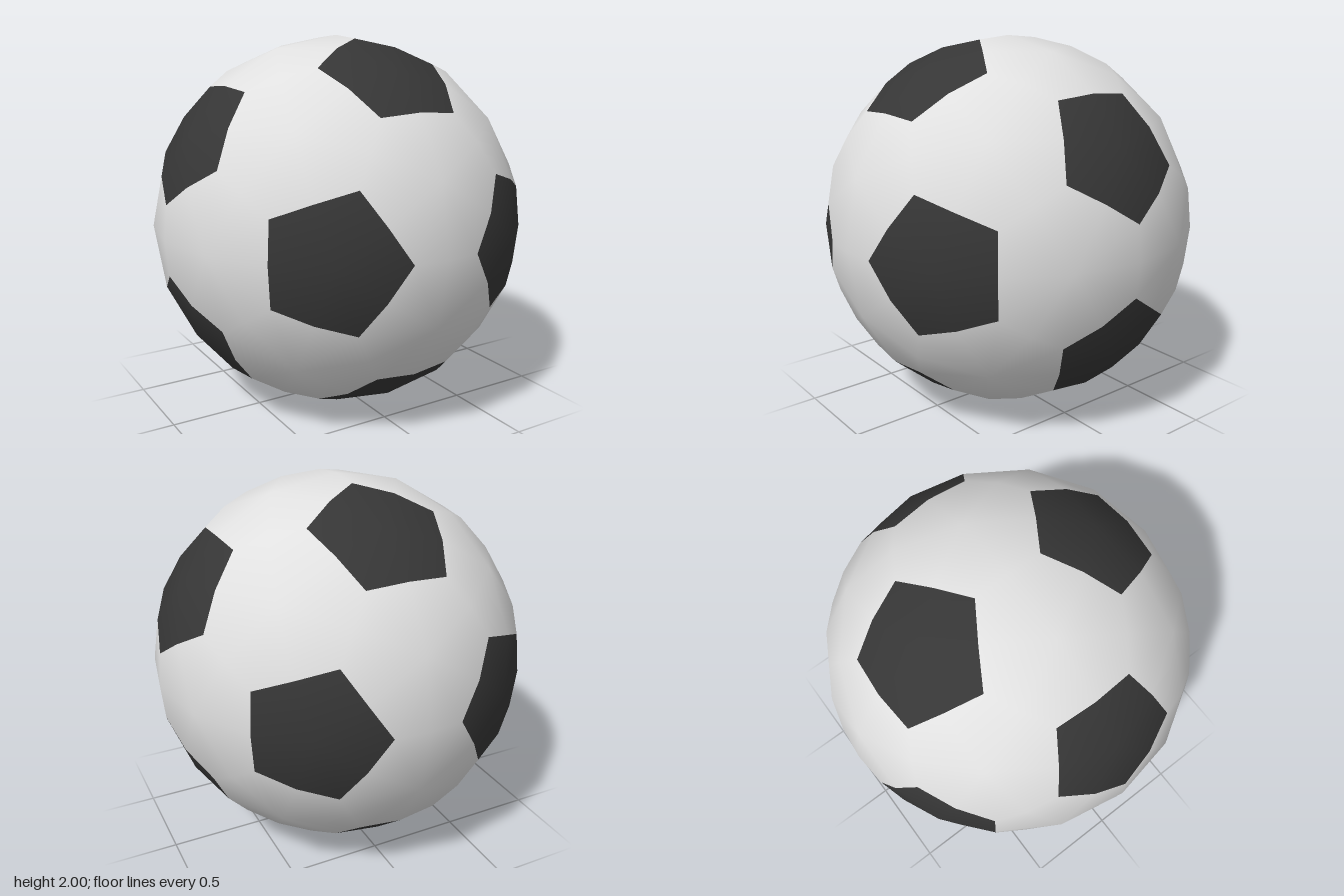
import * as THREE from 'three';

const RADIUS = 1;

// Point on the unit sphere a fraction t of the arc from a to b
function arcPoint(a, b, t) {
  const angle = a.angleTo(b);
  return a.clone().multiplyScalar(Math.sin((1 - t) * angle))
    .addScaledVector(b, Math.sin(t * angle)).normalize();
}

// Order points counter-clockwise around an outward direction
function sortAround(centre, points) {
  const u = points[0].clone().projectOnPlane(centre).normalize();
  const v = centre.clone().cross(u);
  const angle = (p) => Math.atan2(p.dot(v), p.dot(u));
  return [...points].sort((p, q) => angle(p) - angle(q));
}

// Panel: a fan from its centre to its corners and edge midpoints, all on the sphere
function panelGeometry(centre, corners) {
  const ring = sortAround(centre, corners);
  const points = [centre];
  ring.forEach((p, i) => {
    points.push(p, arcPoint(p, ring[(i + 1) % ring.length], 0.5));
  });
  const rim = points.length - 1;
  const index = [];
  for (let i = 0; i < rim; i++) index.push(0, 1 + i, 1 + ((i + 1) % rim));

  const normals = points.flatMap((p) => p.toArray());
  const positions = normals.map((n) => n * RADIUS);
  const geometry = new THREE.BufferGeometry();
  geometry.setAttribute('position', new THREE.Float32BufferAttribute(positions, 3));
  geometry.setAttribute('normal', new THREE.Float32BufferAttribute(normals, 3));
  geometry.setIndex(index);
  return geometry;
}

export function createModel() {
  const white = new THREE.MeshStandardMaterial({ color: 0xe0e0e0 });
  white.name = 'white leather';
  const black = new THREE.MeshStandardMaterial({ color: 0x363636 });
  black.name = 'black leather';

  // Icosahedron directions: the centres of the black panels
  const phi = (1 + Math.sqrt(5)) / 2;
  const hubs = [];
  for (const s of [-1, 1]) {
    for (const t of [-phi, phi]) {
      hubs.push(
        new THREE.Vector3(s, 0, t).normalize(),
        new THREE.Vector3(0, t, s).normalize(),
        new THREE.Vector3(t, s, 0).normalize(),
      );
    }
  }
  const adjacent = (a, b) => a !== b && a.dot(b) > 0.4;

  const ball = new THREE.Group();
  ball.name = 'ball';
  ball.position.y = RADIUS;
  const addPanel = (name, centre, corners, material) => {
    const mesh = new THREE.Mesh(panelGeometry(centre, corners), material);
    mesh.name = name;
    ball.add(mesh);
  };

  // Twelve black pentagons, a third of the way along each arc
  for (const hub of hubs) {
    const corners = hubs.filter((h) => adjacent(hub, h)).map((h) => arcPoint(hub, h, 1 / 3));
    addPanel('blackPentagon', hub, corners, black);
  }

  // Twenty white hexagons, one between every three neighbouring pentagons
  for (let i = 0; i < 12; i++) {
    for (let j = i + 1; j < 12; j++) {
      for (let k = j + 1; k < 12; k++) {
        const [a, b, c] = [hubs[i], hubs[j], hubs[k]];
        if (!(adjacent(a, b) && adjacent(b, c) && adjacent(c, a))) continue;
        const centre = a.clone().add(b).add(c).normalize();
        const corners = [[a, b], [b, c], [c, a]].flatMap(([p, q]) => [
          arcPoint(p, q, 1 / 3), arcPoint(p, q, 2 / 3),
        ]);
        addPanel('whiteHexagon', centre, corners, white);
      }
    }
  }

  const model = new THREE.Group();
  model.name = 'football';
  model.add(ball);
  return model;
}
